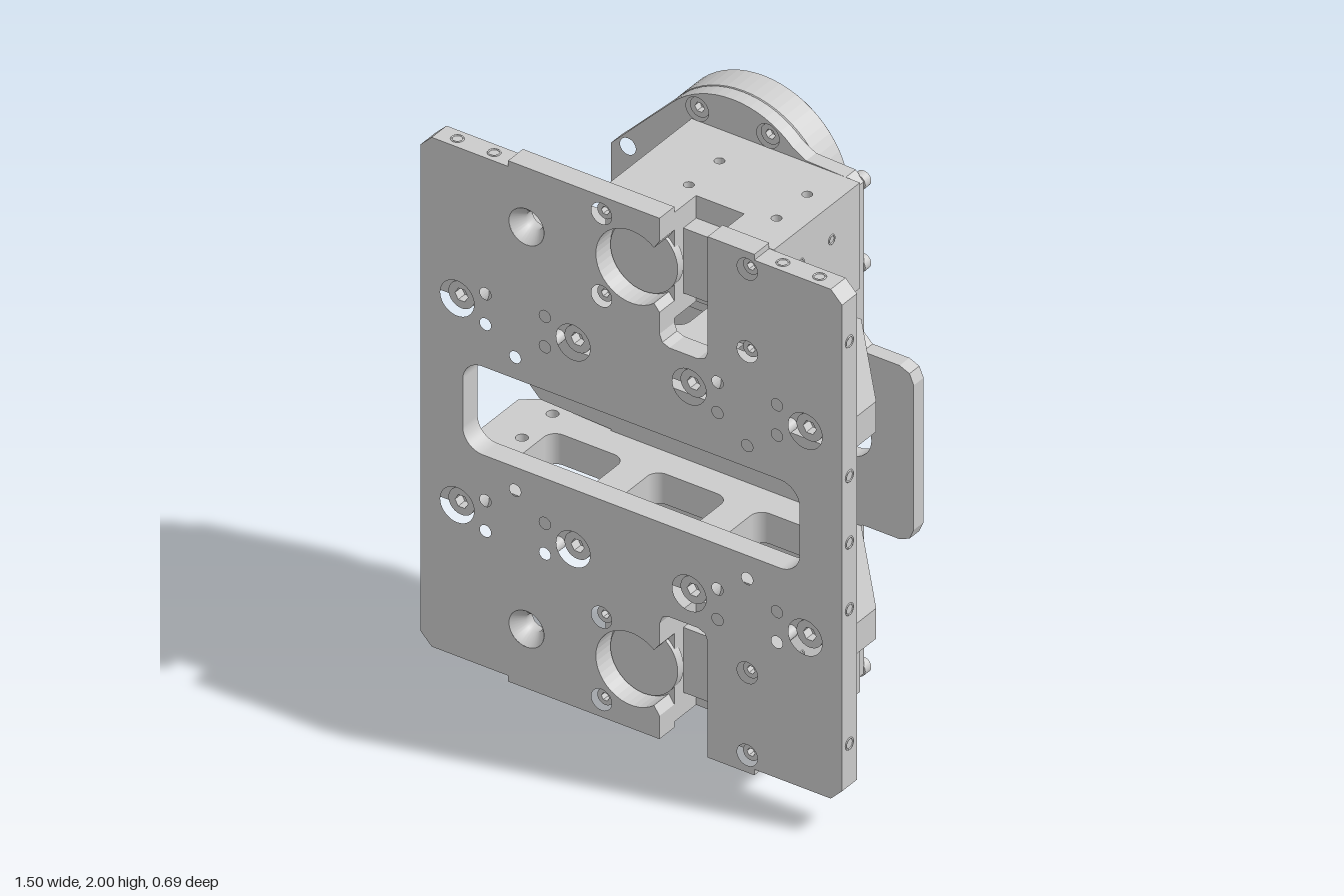
import * as THREE from 'three';

const grey = new THREE.MeshStandardMaterial({ color: 0xcccccc });
const greyThin = new THREE.MeshStandardMaterial({ color: 0xcccccc, side: THREE.DoubleSide });

export function createModel() {
  const model = new THREE.Group();

  const add = (name, geo, mat = grey, parent = model) => {
    const mesh = new THREE.Mesh(geo, mat);
    mesh.name = name;
    parent.add(mesh);
    return mesh;
  };
  const poly = (pts) => new THREE.Shape(pts.map(([x, y]) => new THREE.Vector2(x, y)));
  const circle = (x, y, r) => new THREE.Path().absarc(x, y, r, 0, Math.PI * 2, true);
  const disc = (r) => new THREE.Shape().absarc(0, 0, r, 0, Math.PI * 2, false);
  const hexagon = (r) => new THREE.Path(Array.from({ length: 6 }, (_, i) =>
    new THREE.Vector2(r * Math.cos(i * Math.PI / 3), r * Math.sin(i * Math.PI / 3))));
  const roundRect = (x0, y0, x1, y1, r) => new THREE.Path()
    .absarc(x0 + r, y0 + r, r, Math.PI, Math.PI * 1.5)
    .absarc(x1 - r, y0 + r, r, Math.PI * 1.5, Math.PI * 2)
    .absarc(x1 - r, y1 - r, r, 0, Math.PI / 2)
    .absarc(x0 + r, y1 - r, r, Math.PI / 2, Math.PI);
  // Slab between two z values
  const slabZ = (shape, z0, z1) => new THREE.ExtrudeGeometry(shape,
    { depth: z1 - z0, bevelEnabled: false, curveSegments: 20 }).translate(0, 0, z0);
  // Slab between two heights; the shape is drawn in x and -z
  const slabY = (shape, y0, y1) => slabZ(shape, 0, y1 - y0).rotateX(-Math.PI / 2).translate(0, y0, 0);

  // Socket head screw along z, with its head facing front (dir 1) or back (dir -1)
  const screw = (name, x, y, z, r, height, dir) => {
    const g = new THREE.Group();
    g.name = name;
    const ring = disc(r);
    ring.holes.push(hexagon(r * 0.5));
    add('screwHead', slabZ(ring, height * 0.4, height), grey, g);
    add('screwBase', slabZ(disc(r), 0, height * 0.4), grey, g);
    g.position.set(x, y, z);
    if (dir < 0) g.rotation.y = Math.PI;
    model.add(g);
  };
  // Rim of a tapped hole in an edge
  const rim = (x, y, z, axis, r = 0.018) => {
    const m = add('tappedHoleRim', new THREE.TorusGeometry(r, 0.003, 6, 20));
    m.position.set(x, y, z);
    if (axis === 'x') m.rotation.y = Math.PI / 2;
    if (axis === 'y') m.rotation.x = Math.PI / 2;
  };

  const flip = (pts) => pts.map(([x, y]) => [x, 2 - y]).reverse();
  const halves = [(y) => y, (y) => 2 - y];

  // Front plate outline: chamfered corners, raised lips, round keyhole notch
  const keyhole = [];
  for (let i = 0; i <= 28; i++) {
    const a = THREE.MathUtils.degToRad(50 + i * 260 / 28);
    keyhole.push([0.125 * Math.cos(a), 1.695 + 0.125 * Math.sin(a)]);
  }
  const frontTop = [
    [-0.745, 1.84], [-0.705, 1.88], [-0.435, 1.88], [-0.435, 1.9], [0.1, 1.9], [0.1, 1.82],
    ...keyhole,
    [0.1, 1.575], [0.1, 1.5], [0.11, 1.475], [0.135, 1.465], [0.235, 1.465], [0.26, 1.475], [0.27, 1.5],
    [0.27, 1.9], [0.435, 1.9], [0.435, 1.88], [0.705, 1.88], [0.745, 1.84],
  ];
  const front = poly([...frontTop, ...flip(frontTop)]);
  front.holes.push(roundRect(-0.595, 0.85, 0.595, 1.155, 0.07));

  // Back plate outline: a wide middle with a lobe behind each bearing
  const lobeArc = [];
  for (let i = 0; i <= 16; i++) {
    const a = Math.PI * (0.75 - 0.5 * i / 16);
    lobeArc.push([0.3 * Math.cos(a), 1.7 + 0.3 * Math.sin(a)]);
  }
  const backTop = [
    [-0.73, 1.24], [-0.68, 1.29], [-0.43, 1.3], [-0.43, 1.69], ...lobeArc,
    [0.26, 1.885], [0.4, 1.88], [0.43, 1.85], [0.43, 1.33], [0.46, 1.3], [0.59, 1.3], [0.625, 1.285], [0.64, 1.25],
  ];
  const back = poly([...backTop, ...flip(backTop)]);
  back.holes.push(roundRect(-0.595, 0.925, 0.49, 1.08, 0.077));

  for (const Y of halves) {
    const span = (a, b) => [Math.min(Y(a), Y(b)), Math.max(Y(a), Y(b))];

    // Shelf with lightening windows and a slanted end
    const shelf = poly([[-0.745, -0.27], [0.74, -0.27], [0.74, -0.165], [0.455, 0.168],
      [-0.432, 0.168], [-0.432, 0.215], [-0.66, 0.215], [-0.745, 0.15]]);
    shelf.holes.push(roundRect(-0.57, -0.165, -0.31, 0.07, 0.04), roundRect(-0.205, -0.165, 0.055, 0.07, 0.04),
      roundRect(0.16, -0.165, 0.42, 0.07, 0.04), circle(-0.62, 0.145, 0.019), circle(-0.62, -0.01, 0.019));
    add('shelf', slabY(shelf, ...span(1.305, 1.41)));

    // Actuator body with a cable notch in its front face
    const body = poly([[-0.145, -0.268], [0.1, -0.268], [0.1, -0.16], [0.27, -0.16], [0.27, -0.268],
      [0.45, -0.268], [0.45, 0.168], [-0.145, 0.168]]);
    for (const x of [0.05, 0.36]) for (const z of [-0.03, 0.125]) body.holes.push(circle(x, -z, 0.016));
    add('actuatorBody', slabY(body, ...span(1.515, 1.88)));
    const plug = add('cablePlug', new THREE.BoxGeometry(0.135, 0.225, 0.07));
    plug.position.set(0.168, Y(1.69), 0.19);
    const boss = add('actuatorBoss', new THREE.CylinderGeometry(0.119, 0.119, 0.03, 40));
    boss.rotation.x = Math.PI / 2;
    boss.position.set(0, Y(1.695), 0.265);
    for (const z of [0.13, -0.025]) {
      const post = add('post', new THREE.CylinderGeometry(0.05, 0.05, 0.11, 28));
      post.position.set(0.385, Y(1.461), z);
      for (const y of [1.76, 1.595]) rim(0.45, Y(y), z, 'x', 0.014);
    }

    // Bearing: drilled outer ring, recessed web and drilled hub
    const bearing = new THREE.Group();
    bearing.name = 'bearing';
    bearing.position.set(0, Y(1.695), 0);
    model.add(bearing);
    const ring = disc(0.299);
    ring.holes.push(circle(0, 0, 0.18));
    const hub = disc(0.13);
    hub.holes.push(circle(0, 0, 0.045));
    for (let i = 0; i < 8; i++) {
      const a = (i + 0.5) * Math.PI / 4;
      hub.holes.push(circle(0.088 * Math.cos(a), 0.088 * Math.sin(a), 0.015));
    }
    for (let i = 0; i < 6; i++) {
      const a = (i + 0.5) * Math.PI / 3;
      ring.holes.push(circle(0.25 * Math.cos(a), 0.25 * Math.sin(a), 0.013));
    }
    add('outerRing', new THREE.ExtrudeGeometry(ring, { depth: 0.1, bevelThickness: 0.006, bevelSize: 0.006,
      bevelSegments: 1, curveSegments: 32 }).translate(0, 0, -0.324), grey, bearing);
    add('web', slabZ(disc(0.187), -0.315, -0.22), grey, bearing);
    add('hub', slabZ(hub, -0.345, -0.315), grey, bearing);

    // Front plate screws in counterbores, and dowel holes
    for (const x of [-0.615, -0.205, 0.205, 0.615]) {
      front.holes.push(circle(x, Y(1.357), 0.06));
      screw('shelfScrew', x, Y(1.357), 0.268, 0.046, 0.055, 1);
    }
    for (const x of [-0.105, 0.41]) for (const y of [1.84, 1.555]) {
      front.holes.push(circle(x, Y(y), 0.036));
      screw('actuatorScrew', x, Y(y), 0.266, 0.028, 0.06, 1);
      screw('backActuatorScrew', x, Y(y), -0.215, 0.026, 0.03, -1);
    }
    for (const x of [-0.515, -0.305, 0.305, 0.515]) for (const y of [1.41, 1.305]) {
      front.holes.push(circle(x, Y(y), 0.02));
    }
    for (const x of [-0.41, 0.41]) front.holes.push(circle(x, Y(1.23), 0.02));

    // Countersunk through hole
    front.holes.push(circle(-0.37, Y(1.695), 0.062));
    const sink = add('countersink', new THREE.LatheGeometry([[0.062, 0.345], [0.03, 0.305], [0.03, 0.27], [0.062, 0.27]]
      .map(([r, z]) => new THREE.Vector2(r, z)), 32).rotateX(Math.PI / 2), greyThin);
    sink.position.set(-0.37, Y(1.695), 0);

    // Back plate holes and screws
    back.holes.push(circle(-0.37, Y(1.7), 0.028));
    for (const x of [-0.335, 0.335]) for (const y of [1.4, 1.32]) back.holes.push(circle(x, Y(y), 0.016));
    for (const x of [-0.125, 0.125]) {
      back.holes.push(circle(x, Y(1.92), 0.04));
      screw('bearingScrew', x, Y(1.92), -0.22, 0.034, 0.04, 1);
    }
    for (const x of [-0.245, 0.245, 0.41]) {
      if (x < 0.4) screw('backShelfScrew', x, Y(1.357), -0.215, 0.043, 0.05, -1);
    }

    // Tapped holes along the edges
    for (const x of [-0.64, -0.51, 0.51, 0.64]) rim(x, Y(1.88), 0.308, 'y');
    for (const side of [-1, 1]) for (const y of [1.695, 1.23]) rim(side * 0.745, Y(y), 0.308, 'x');
    for (const x of [-0.62, -0.49]) rim(x, Y(1.357), -0.215, 'z');
  }
  for (const side of [-1, 1]) rim(side * 0.745, 1, 0.308, 'x');

  add('frontPlate', slabZ(front, 0.27, 0.345));
  add('backPlate', slabZ(back, -0.218, -0.168));
  return model;
}
